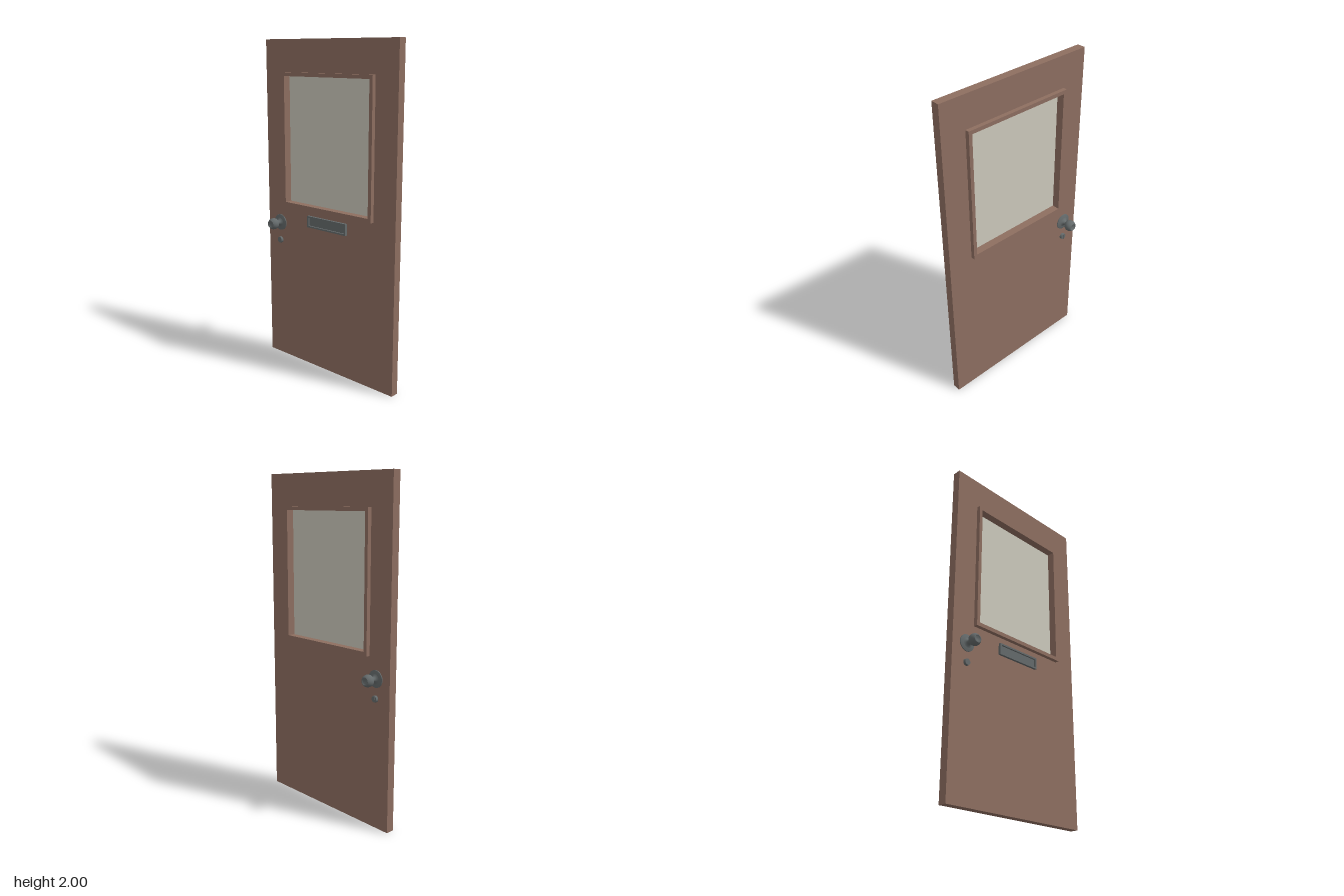
import * as THREE from 'three';

const wood = new THREE.MeshStandardMaterial({ color: 0x8d6e60 });
wood.name = 'brown wood';
const glass = new THREE.MeshStandardMaterial({ color: 0xcbc8bb });
glass.name = 'frosted glass';
const metal = new THREE.MeshStandardMaterial({ color: 0x646a6b });
metal.name = 'dark metal';

function add(parent, name, geometry, material, x = 0, y = 0, z = 0) {
  const mesh = new THREE.Mesh(geometry, material);
  mesh.name = name;
  mesh.position.set(x, y, z);
  parent.add(mesh);
  return mesh;
}

function rectPoints([x0, y0, x1, y1]) {
  return [[x0, y0], [x1, y0], [x1, y1], [x0, y1]].map(([x, y]) => new THREE.Vector2(x, y));
}

// Rectangular plate with a rectangular hole, starting at z = 0
function ring(outer, inner, depth) {
  const shape = new THREE.Shape(rectPoints(outer));
  shape.holes.push(new THREE.Path(rectPoints(inner)));
  return new THREE.ExtrudeGeometry(shape, { depth, bevelEnabled: false });
}

// Turned part whose axis runs along +z; sharp corners are repeated points
function turned(segments) {
  return segments.map((pts) =>
    new THREE.LatheGeometry(pts.map(([r, z]) => new THREE.Vector2(r, z)), 32).rotateX(Math.PI / 2));
}

function doorKnob() {
  const g = new THREE.Group();
  const ball = [];
  for (let i = 0; i <= 14; i++) {
    const a = THREE.MathUtils.lerp(-1.2, 0.8, i / 14);
    ball.push([0.035 * Math.cos(a), 0.064 + 0.035 * Math.sin(a)]);
  }
  const profiles = {
    rosetteEdge: [[0.05, 0], [0.05, 0.005]],
    rosetteFace: [[0.05, 0.005], [0.036, 0.009], [0.03, 0.01]],
    neck: [[0.03, 0.01], [0.022, 0.013], [0.016, 0.019], [0.013, 0.026], [0.0127, 0.0314]],
    ball,
    knobRim: [[0.0244, 0.0891], [0.019, 0.0895]],
    knobDish: [[0.019, 0.0895], [0.015, 0.085], [0, 0.083]],
  };
  const names = Object.keys(profiles);
  turned(Object.values(profiles)).forEach((geo, i) => add(g, names[i], geo, metal));
  return g;
}

export function createModel() {
  const model = new THREE.Group();
  model.name = 'door';
  const opening = [-0.325, 1.028, 0.325, 1.788];

  // Door leaf, window moulding on both faces, and pane
  add(model, 'doorLeaf', ring([-0.5, 0, 0.5, 2], opening, 0.05), wood, 0, 0, -0.025);
  const moulding = ring([-0.347, 1.005, 0.347, 1.81], opening, 0.025);
  add(model, 'frontMoulding', moulding, wood, 0, 0, 0.025);
  add(model, 'backMoulding', moulding, wood, 0, 0, -0.05);
  add(model, 'windowPane', new THREE.BoxGeometry(0.65, 0.76, 0.006), glass, 0, 1.408, 0);

  // Mail slot: raised rim round a sunken flap
  const slot = new THREE.Group();
  slot.name = 'mailSlot';
  add(slot, 'slotRim', ring([-0.152, -0.035, 0.152, 0.035], [-0.142, -0.025, 0.142, 0.025], 0.015), metal);
  add(slot, 'slotFlap', new THREE.BoxGeometry(0.284, 0.05, 0.005), metal, 0, 0, 0.0025);
  slot.position.set(0, 0.93, 0.025);
  model.add(slot);

  // Knob and lock on each face
  for (const side of [1, -1]) {
    const face = side > 0 ? 'front' : 'back';
    const knob = doorKnob();
    knob.name = face + 'Knob';
    const lock = new THREE.Group();
    lock.name = face + 'Lock';
    const disc = new THREE.CylinderGeometry(0.018, 0.02, 0.014, 24).rotateX(Math.PI / 2);
    add(lock, 'lockDisc', disc, metal, 0, 0, 0.007);
    if (side < 0) add(lock, 'thumbTurn', new THREE.BoxGeometry(0.006, 0.03, 0.003), metal, 0, 0, 0.0155);
    knob.position.set(-0.397, 0.884, side * 0.025);
    lock.position.set(-0.397, 0.77, side * 0.025);
    for (const part of [knob, lock]) {
      if (side < 0) part.rotation.y = Math.PI;
      model.add(part);
    }
  }
  return model;
}
